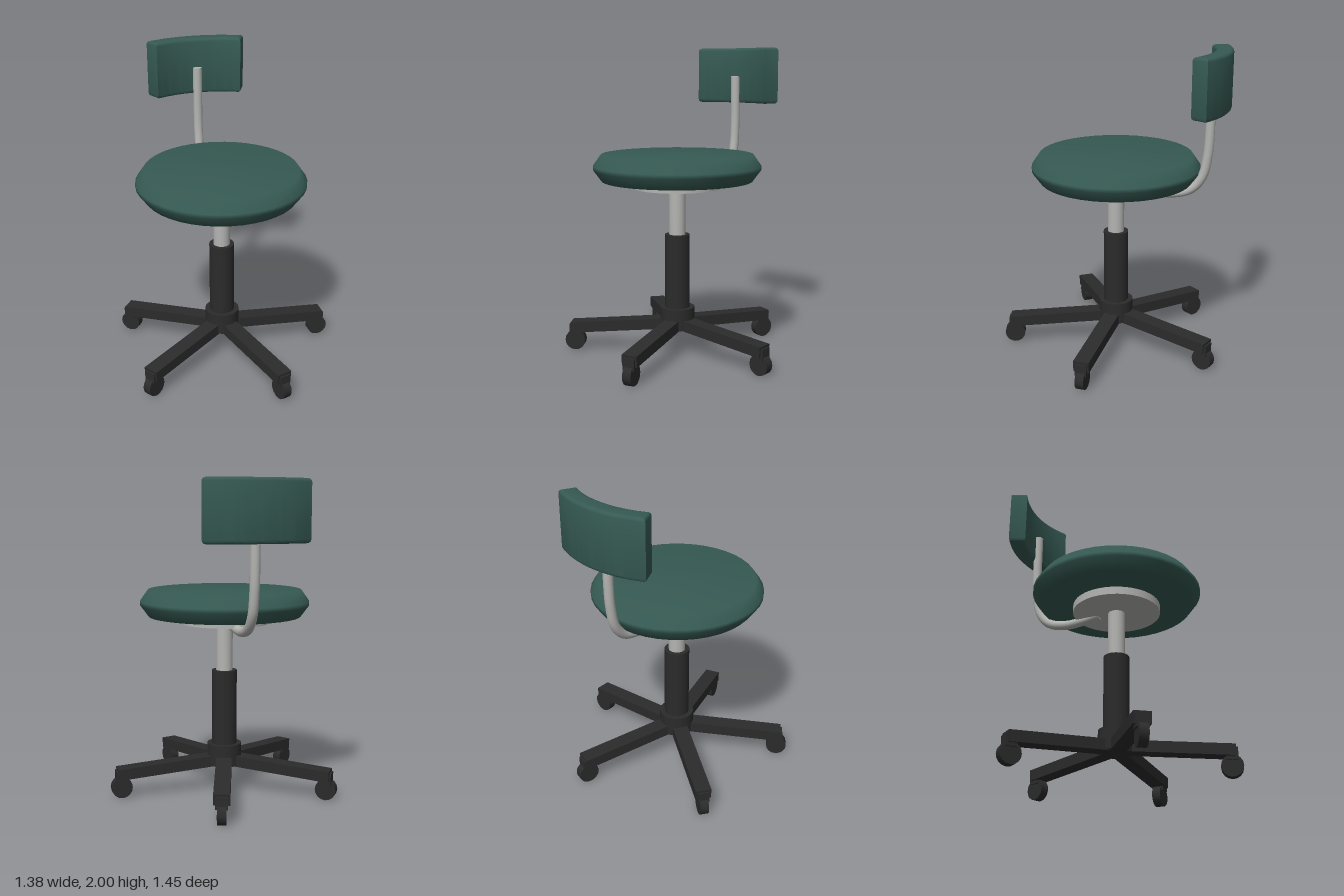
import * as THREE from 'three';
import { toCreasedNormals } from 'three/addons/utils/BufferGeometryUtils.js';

export function createModel() {
  const upholstery = new THREE.MeshStandardMaterial({ color: 0x365a53 });
  upholstery.name = 'green upholstery';
  const metal = new THREE.MeshStandardMaterial({ color: 0xb4b4b2 });
  metal.name = 'grey metal';
  const plastic = new THREE.MeshStandardMaterial({ color: 0x2b2b2b });
  plastic.name = 'black plastic';

  const chair = new THREE.Group();
  chair.name = 'swivelChair';
  chair.position.x = -0.065; // the column axis sits off centre

  function add(parent, name, geometry, material, x = 0, y = 0, z = 0) {
    const mesh = new THREE.Mesh(geometry, material);
    mesh.name = name;
    mesh.position.set(x, y, z);
    parent.add(mesh);
    return mesh;
  }
  // Upright cylinder between two heights
  function post(name, radius, bottom, top, material, sides = 32) {
    return add(chair, name, new THREE.CylinderGeometry(radius, radius, top - bottom, sides),
      material, 0, (bottom + top) / 2, 0);
  }

  // Column
  post('hub', 0.112, 0.17, 0.31, plastic);
  post('columnSleeve', 0.081, 0.3, 0.795, plastic);
  post('gasLift', 0.054, 0.79, 1.11, metal);
  post('seatPlate', 0.28, 1.1, 1.152, metal, 40);

  // Round cushion with soft normals
  const cushion = [[0, 1.15], [0.488, 1.15], [0.541, 1.222], [0.541, 1.248], [0.492, 1.318], [0, 1.33]]
    .map(([r, y]) => new THREE.Vector2(r, y));
  add(chair, 'seat', new THREE.LatheGeometry(cushion, 40), upholstery);

  // Five sloping legs, each with a caster
  const drop = Math.atan2(0.05, 0.7);
  for (let i = 0; i < 5; i++) {
    const leg = new THREE.Group();
    leg.name = 'leg' + (i + 1);
    leg.rotation.y = i * Math.PI * 2 / 5;
    chair.add(leg);
    const arm = add(leg, 'legArm', new THREE.BoxGeometry(0.71, 0.07, 0.1), plastic, 0.355, 0.182, 0);
    arm.rotation.z = -drop;
    add(leg, 'casterFork', new THREE.BoxGeometry(0.07, 0.075, 0.074), plastic, 0.687, 0.138, 0);
    const wheel = add(leg, 'casterWheel',
      toCreasedNormals(new THREE.CylinderGeometry(0.067, 0.067, 0.055, 16), 0.6), plastic, 0.685, 0.067, 0);
    wheel.rotation.x = Math.PI / 2;
  }

  // Bent tube from the seat plate to the backrest
  const path = new THREE.CatmullRomCurve3([
    [1.115, -0.125], [1.094, -0.25], [1.09, -0.37], [1.125, -0.49], [1.21, -0.562],
    [1.35, -0.594], [1.5, -0.603], [1.65, -0.603], [1.81, -0.603],
  ].map(([y, z]) => new THREE.Vector3(0, y, z)));
  add(chair, 'backTube', new THREE.TubeGeometry(path, 40, 0.03, 16), metal);
  const topCap = add(chair, 'tubeTopCap', new THREE.CircleGeometry(0.03, 16), metal, 0, 1.81, -0.603);
  topCap.rotation.x = -Math.PI / 2;
  const endCap = add(chair, 'tubeEndCap', new THREE.CircleGeometry(0.03, 16), metal, 0, 1.115, -0.125);
  endCap.lookAt(endCap.position.clone().sub(path.getTangent(0)));

  // Curved backrest: arc centred on the column, with bevelled edges
  const bevel = 0.02, outer = 0.72 - bevel, inner = 0.61 + bevel;
  const half = THREE.MathUtils.degToRad(25.4), middle = Math.PI / 2;
  const outline = new THREE.Shape();
  outline.absarc(0, 0, outer, middle - half, middle + half, false);
  outline.absarc(0, 0, inner, middle + half, middle - half, true);
  outline.closePath();
  const backGeometry = new THREE.ExtrudeGeometry(outline, {
    depth: 0.37 - 2 * bevel, bevelEnabled: true, bevelSize: bevel,
    bevelThickness: bevel, bevelSegments: 3, curveSegments: 14,
  });
  backGeometry.rotateX(-Math.PI / 2);
  add(chair, 'backrest', toCreasedNormals(backGeometry, 0.6), upholstery, 0, 1.63 + bevel, 0);

  const model = new THREE.Group();
  model.name = 'model';
  model.add(chair);
  return model;
}
